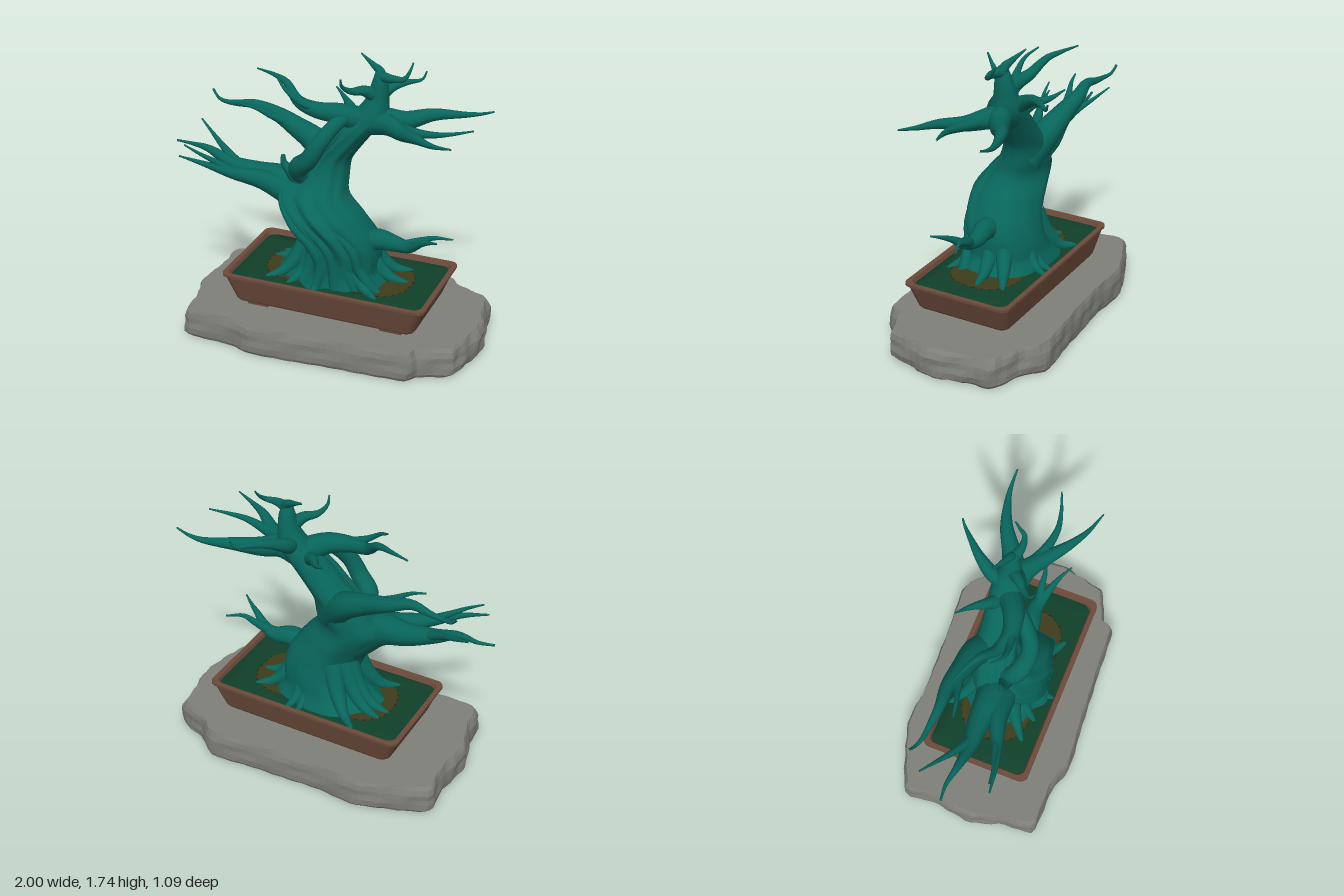
import * as THREE from 'three';

const V = (x, y, z) => new THREE.Vector3(x, y, z);
const mat = (color, flatShading = false) => {
  const m = new THREE.MeshStandardMaterial({ color });
  m.flatShading = flatShading;
  return m;
};
const bark = mat(0x08655b), stone = mat(0x7f8078, true), clay = mat(0x6b4a3a, true);
const moss = mat(0x10402a), earth = mat(0x3d3d1c);

function add(parent, name, geometry, material) {
  const mesh = new THREE.Mesh(geometry, material);
  mesh.name = name;
  parent.add(mesh);
  return mesh;
}

// Skin through closed rings (clockwise seen from above), capped at both ends
function loft(rings) {
  const n = rings[0].length, last = rings.length - 1, pos = [], idx = [];
  rings.forEach(r => r.forEach(p => pos.push(p.x, p.y, p.z)));
  for (const r of [rings[0], rings[last]]) {
    const c = r.reduce((s, p) => s.add(p), V(0, 0, 0)).divideScalar(n);
    pos.push(c.x, c.y, c.z);
  }
  const low = n * (last + 1), high = low + 1;
  for (let i = 0; i < n; i++) {
    const j = (i + 1) % n;
    for (let k = 0; k < last; k++) {
      const a = k * n + i, b = k * n + j, c = a + n, d = b + n;
      idx.push(a, c, b, b, c, d);
    }
    idx.push(low, i, j, high, last * n + j, last * n + i);
  }
  const g = new THREE.BufferGeometry();
  g.setAttribute('position', new THREE.Float32BufferAttribute(pos, 3));
  g.setIndex(idx);
  g.computeVertexNormals();
  return g;
}

// Rounded rectangle ring centred on the pot
function rectRing(y, hx, hz, r = 0.05) {
  const ring = [];
  for (let q = 0; q < 4; q++) {
    const sx = q === 0 || q === 3 ? 1 : -1, sz = q < 2 ? 1 : -1;
    for (let s = 0; s <= 6; s++) {
      const a = (q + s / 6) * Math.PI / 2;
      ring.push(V(0.085 + sx * (hx - r) + r * Math.cos(a), y, sz * (hz - r) + r * Math.sin(a)));
    }
  }
  return ring;
}

// Tapered tube along flat x, y, z triples
function limb(parent, name, r0, pts, r1 = 0.005, power = 1.25) {
  const list = [];
  for (let i = 0; i < pts.length; i += 3) list.push(V(pts[i], pts[i + 1], pts[i + 2]));
  const curve = new THREE.CatmullRomCurve3(list), seg = 32, sides = 12;
  const g = new THREE.TubeGeometry(curve, seg, 1, sides);
  const p = g.attributes.position, v = V(0, 0, 0);
  for (let i = 0; i <= seg; i++) {
    const c = curve.getPointAt(i / seg), r = r1 + (r0 - r1) * Math.pow(1 - i / seg, power);
    for (let j = 0; j <= sides; j++) {
      const k = i * (sides + 1) + j;
      v.fromBufferAttribute(p, k).sub(c).multiplyScalar(r).add(c);
      p.setXYZ(k, v.x, v.y, v.z);
    }
  }
  g.computeBoundingSphere();
  return add(parent, name, g, bark);
}

function slab() {
  const outline = [-0.8, -0.37, -0.41, -0.52, -0.13, -0.51, 0.3, -0.53, 0.57, -0.55, 0.65, -0.53, 0.73, -0.45,
    0.93, -0.37, 0.95, -0.24, 0.995, 0, 0.94, 0.24, 0.91, 0.32, 0.73, 0.4, 0.69, 0.47, 0.41, 0.49,
    0.1, 0.51, -0.27, 0.54, -0.45, 0.49, -0.74, 0.475, -0.77, 0.29, -0.83, 0.08, -0.8, -0.19];
  const pts = [];
  for (let i = 0; i < outline.length; i += 2) pts.push(V(outline[i], 0, outline[i + 1]));
  const edge = new THREE.CatmullRomCurve3(pts, true, 'catmullrom', 0.3).getSpacedPoints(120).slice(0, 120);
  const levels = [[0, 0.978], [0.02, 0.998], [0.06, 1.003], [0.095, 0.998], [0.13, 0.998], [0.165, 0.985], [0.187, 0.97]];
  return loft(levels.map(([y, s], k) => edge.map((p, i) => {
    const f = s + 0.005 * Math.sin(i * 1.9 + k * 0.5) + 0.004 * Math.sin(i * 0.63 + k * 1.7);
    return V(p.x * f, y, p.z * f);
  })));
}

// Leaning trunk, fluted mostly on its front
function trunk() {
  // y, centre x, centre z, radius x, radius z
  const rows = [
    [0.36, 0.05, -0.01, 0.36, 0.27], [0.45, 0.08, 0, 0.265, 0.235], [0.55, 0.11, 0.01, 0.235, 0.225],
    [0.65, 0.09, 0.03, 0.235, 0.22], [0.78, 0, 0.045, 0.235, 0.215], [0.9, -0.09, 0.015, 0.22, 0.175],
    [1, -0.06, -0.035, 0.175, 0.138], [1.1, -0.02, -0.055, 0.145, 0.12], [1.2, 0.065, -0.06, 0.125, 0.115],
    [1.3, 0.15, -0.065, 0.117, 0.112], [1.4, 0.235, -0.08, 0.105, 0.1], [1.5, 0.275, -0.09, 0.066, 0.07],
    [1.6, 0.29, -0.085, 0.047, 0.05], [1.665, 0.29, -0.08, 0.025, 0.025]];
  const centre = new THREE.CatmullRomCurve3(rows.map(r => V(r[1], r[0], r[2])));
  const radius = new THREE.CatmullRomCurve3(rows.map(r => V(r[3], 0, r[4])));
  const rings = [];
  for (let k = 0; k <= 90; k++) {
    const c = centre.getPoint(k / 90), r = radius.getPoint(k / 90), ring = [];
    for (let i = 0; i < 96; i++) {
      const a = i / 96 * Math.PI * 2, front = Math.max(0, Math.sin(a - 0.2));
      const fade = THREE.MathUtils.clamp((1.5 - c.y) * 1.6, 0.1, 1);
      const flute = Math.sin(10 * a + 3 * Math.sin(c.y * 4)) * (0.008 + 0.06 * front)
        + Math.sin(5 * a - 3 * c.y) * 0.025;
      const f = 1 + fade * flute;
      ring.push(V(c.x + r.x * f * Math.cos(a), c.y, c.z + r.z * f * Math.sin(a)));
    }
    rings.push(ring);
  }
  return loft(rings);
}

export function createModel() {
  const model = new THREE.Group();
  add(model, 'stoneSlab', slab(), stone);

  // Pot, its feet and the ground inside
  add(model, 'pot', loft([rectRing(0.213, 0.565, 0.297), rectRing(0.225, 0.575, 0.303), rectRing(0.375, 0.632, 0.335),
    rectRing(0.38, 0.645, 0.346), rectRing(0.395, 0.645, 0.346), rectRing(0.395, 0.615, 0.316),
    rectRing(0.355, 0.6, 0.3)]), clay);
  for (const x of [-0.345, 0.51]) for (const z of [0.22, -0.2]) {
    add(model, 'potFoot', new THREE.BoxGeometry(0.135, 0.036, 0.11), clay).position.set(x, 0.2, z);
  }
  add(model, 'moss', loft([rectRing(0.35, 0.604, 0.304), rectRing(0.372, 0.607, 0.307), rectRing(0.376, 0.5, 0.24)]), moss);
  add(model, 'bareSoil', loft([rectRing(0.37, 0.49, 0.24, 0.2), rectRing(0.379, 0.45, 0.21, 0.18)]), earth);

  const tree = new THREE.Group();
  tree.name = 'tree';
  model.add(tree);
  add(tree, 'trunk', trunk(), bark);

  // Spreading roots
  for (let i = 0; i < 12; i++) {
    const a = i / 12 * Math.PI * 2 + 0.2 * Math.sin(i * 2.3), s = 1 + 0.09 * Math.sin(i * 4.1);
    const at = (d, y, w) => [0.06 + 0.43 * d * s * Math.cos(a + w), y, -0.01 + 0.3 * d * s * Math.sin(a + w)];
    limb(tree, 'root', 0.07, [...at(0.34, 0.66, 0.1), ...at(0.55, 0.5, 0.05), ...at(0.78, 0.4, 0), ...at(1.08, 0.365, -0.04)], 0.008, 0.7);
  }

  // Raised strands winding up the front
  for (let i = 0; i < 4; i++) {
    const d = i * 0.075;
    limb(tree, 'barkStrand', 0.036, [0.36 - d * 1.5, 0.37, 0.15 + d * 0.4, 0.27 - d, 0.5, 0.17 + d * 0.25,
      0.23 - d, 0.63, 0.19 + d * 0.25, 0.1 - d, 0.76, 0.2 + d * 0.2, -0.05 - d * 0.8, 0.88, 0.16,
      -0.1 - d * 0.6, 1.0, 0.05], 0.015, 0.9);
  }
  limb(tree, 'loopStrand', 0.065, [-0.12, 0.97, 0.03, -0.14, 1.07, 0.11, -0.06, 1.15, 0.15, 0.0, 1.25, 0.145,
    0.06, 1.34, 0.09, 0.11, 1.39, 0.03, 0.2, 1.4, -0.06], 0.03, 0.7);
  limb(tree, 'innerStrand', 0.05, [-0.08, 0.9, 0.1, -0.1, 1.05, 0.05, -0.01, 1.18, 0.03, 0.09, 1.3, 0.01, 0.2, 1.4, -0.05], 0.025);
  limb(tree, 'brokenStub', 0.07, [-0.13, 0.94, 0.05, -0.2, 1.02, 0.07, -0.25, 1.07, 0.07, -0.26, 1.12, 0.06], 0.012);

  // Low branches on the right
  limb(tree, 'lowRightBranch', 0.15, [-0.08, 0.8, 0.02, -0.28, 0.92, 0.02, -0.45, 0.945, 0.01, -0.62, 0.985, 0.02,
    -0.78, 1.05, 0.01, -0.9, 1.055, -0.01, -1, 1.065, 0], 0.007, 1.5);
  limb(tree, 'lowRightTwig', 0.035, [-0.56, 0.97, 0.02, -0.7, 1.05, -0.04, -0.8, 1.1, -0.1, -0.91, 1.16, -0.165]);
  limb(tree, 'lowRightBranch', 0.085, [-0.2, 0.88, 0.07, -0.38, 0.95, 0.1, -0.55, 0.99, 0.16, -0.7, 1.04, 0.21, -0.86, 1.08, 0.24]);
  limb(tree, 'lowRightTwig', 0.03, [-0.52, 0.98, 0.15, -0.64, 1.05, 0.18, -0.73, 1.1, 0.21, -0.83, 1.15, 0.225]);

  // Middle branches on the right, leaving from the back
  limb(tree, 'middleRightBranch', 0.11, [0, 1, -0.06, -0.12, 1.13, -0.14, -0.28, 1.21, -0.17, -0.42, 1.265, -0.19,
    -0.56, 1.305, -0.18, -0.67, 1.29, -0.19, -0.76, 1.285, -0.2, -0.82, 1.295, -0.22, -0.86, 1.34, -0.235], 0.007, 1.35);
  limb(tree, 'middleRightTwig', 0.036, [-0.3, 1.22, -0.17, -0.42, 1.27, -0.13, -0.51, 1.315, -0.1, -0.6, 1.335, -0.08]);

  // Upper branches on the right
  limb(tree, 'upperRightBranch', 0.08, [0.2, 1.36, -0.06, 0.08, 1.41, 0.01, -0.05, 1.425, 0.04, -0.18, 1.45, 0.01,
    -0.28, 1.53, -0.05, -0.39, 1.55, -0.1, -0.51, 1.555, -0.14]);
  limb(tree, 'upperRightTwig', 0.036, [0, 1.42, 0.03, -0.14, 1.47, 0.07, -0.23, 1.53, 0.07, -0.31, 1.58, 0.02]);
  limb(tree, 'upperBackTwig', 0.055, [0.17, 1.33, -0.08, 0.08, 1.39, -0.16, 0.02, 1.41, -0.23, -0.06, 1.45, -0.29]);

  // Upper branches on the left
  limb(tree, 'upperLeftBranch', 0.09, [0.2, 1.35, -0.075, 0.33, 1.375, -0.09, 0.43, 1.365, -0.14, 0.57, 1.39, -0.23, 0.75, 1.395, -0.29, 0.84, 1.41, -0.3, 0.915, 1.435, -0.3]);
  limb(tree, 'upperLeftBranch', 0.085, [0.2, 1.35, -0.075, 0.36, 1.37, -0.03, 0.48, 1.365, 0.05, 0.6, 1.385, 0.15, 0.72, 1.39, 0.22, 0.84, 1.41, 0.265]);
  limb(tree, 'upperLeftTwig', 0.05, [0.33, 1.37, -0.05, 0.5, 1.37, 0.02, 0.66, 1.385, 0.05, 0.77, 1.4, 0.03, 0.88, 1.42, -0.01]);
  limb(tree, 'backBranch', 0.06, [0.25, 1.4, -0.09, 0.24, 1.45, -0.18, 0.29, 1.5, -0.28, 0.36, 1.515, -0.36, 0.43, 1.52, -0.43, 0.45, 1.565, -0.45]);

  // Crown
  limb(tree, 'crownBranch', 0.045, [0.28, 1.56, -0.08, 0.3, 1.63, -0.08, 0.37, 1.64, -0.06, 0.44, 1.645, -0.07, 0.46, 1.68, -0.11, 0.47, 1.725, -0.14]);
  limb(tree, 'crownBranch', 0.042, [0.3, 1.58, -0.08, 0.29, 1.66, -0.09, 0.24, 1.69, -0.11, 0.15, 1.735, -0.15]);
  limb(tree, 'crownBranch', 0.048, [0.28, 1.51, -0.08, 0.22, 1.56, -0.02, 0.16, 1.57, 0.04, 0.125, 1.61, 0.09, 0.125, 1.665, 0.115]);

  // Low branch on the left
  limb(tree, 'lowLeftBranch', 0.09, [0.2, 0.59, 0.02, 0.33, 0.65, 0.02, 0.45, 0.635, 0.01, 0.53, 0.64, 0.03, 0.62, 0.7, 0.07, 0.68, 0.73, 0.1, 0.74, 0.755, 0.14]);
  limb(tree, 'lowLeftTwig', 0.034, [0.5, 0.64, 0.02, 0.59, 0.68, 0.0, 0.67, 0.71, -0.01, 0.775, 0.7, -0.05]);
  return model;
}
